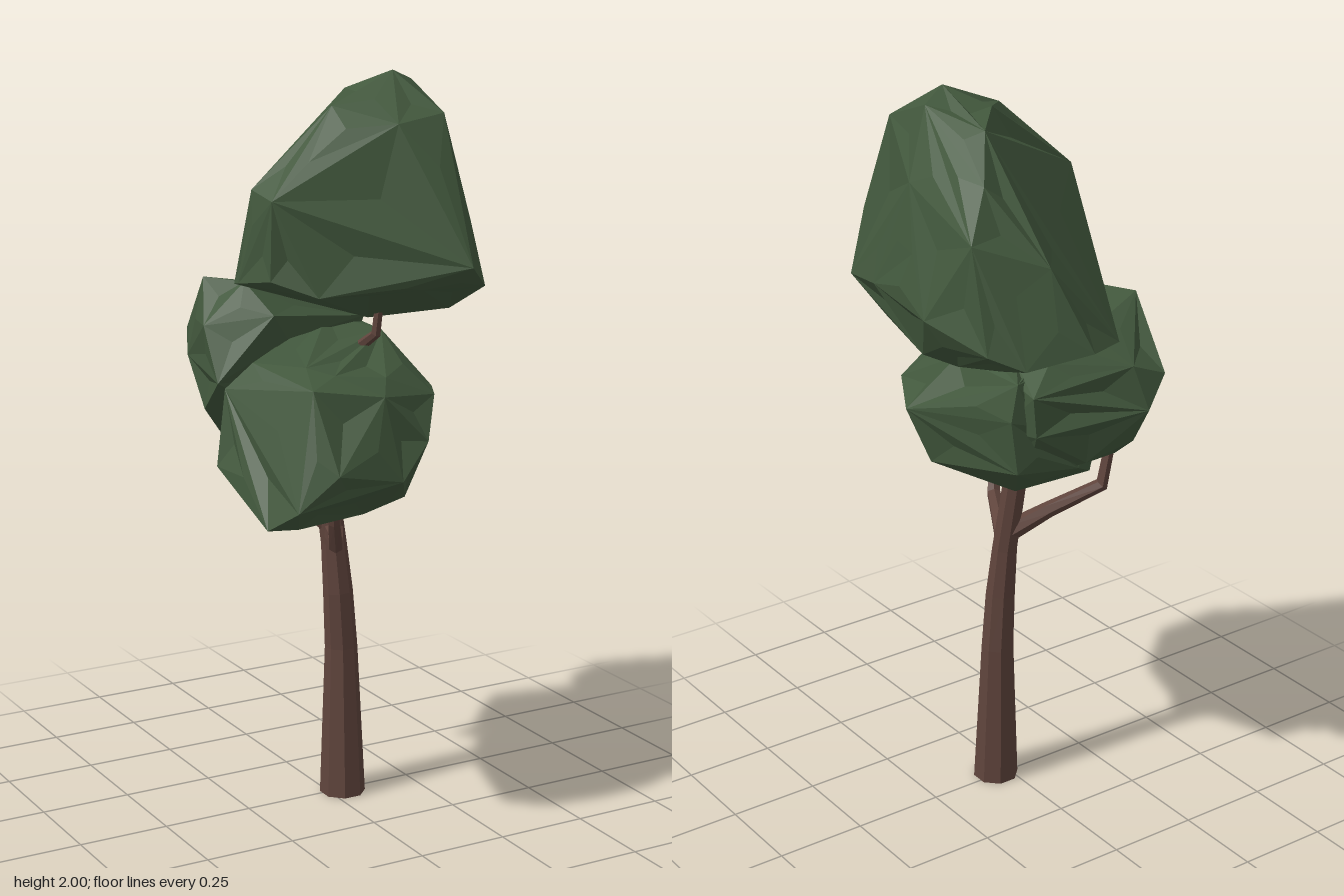
import * as THREE from 'three';
import { ConvexGeometry } from 'three/addons/geometries/ConvexGeometry.js';

const vec = (p) => new THREE.Vector3(...p);

// Seeded random numbers for the uneven foliage facets
function seeded(seed) {
  return () => (seed = (seed * 16807) % 2147483647) / 2147483647;
}

// Faceted leaf mass: hull of a few corner points, large facets broken by a small dent or bump
function foliage(points, seed) {
  const rand = seeded(seed);
  const pos = new ConvexGeometry(points.map(vec)).attributes.position;
  const out = [];
  const tri = new THREE.Triangle(), mid = new THREE.Vector3(), n = new THREE.Vector3();
  for (let i = 0; i < pos.count; i += 3) {
    tri.setFromAttributeAndIndices(pos, i, i + 1, i + 2);
    const { a, b, c } = tri;
    if (tri.getArea() < 0.009) {
      out.push(...a, ...b, ...c);
      continue;
    }
    tri.getMidpoint(mid);
    tri.getNormal(n);
    mid.addScaledVector(n, rand() * 0.03 - 0.02);
    out.push(...a, ...b, ...mid, ...b, ...c, ...mid, ...c, ...a, ...mid);
  }
  const geo = new THREE.BufferGeometry();
  geo.setAttribute('position', new THREE.Float32BufferAttribute(out, 3));
  geo.computeVertexNormals();
  return geo;
}

// Tapered limb through joints [x, y, z, radius], capped at both ends
function limb(joints, sides) {
  const up = new THREE.Vector3(0, 1, 0);
  const centres = joints.map((j) => vec(j.slice(0, 3)));
  const rings = joints.map((j, i) => {
    const before = centres[Math.max(i - 1, 0)];
    const after = centres[Math.min(i + 1, joints.length - 1)];
    const dir = i === 0 && sides > 6 ? up : after.clone().sub(before).normalize();
    const turn = new THREE.Quaternion().setFromUnitVectors(up, dir);
    return Array.from({ length: sides }, (_, k) => {
      const t = ((k + 0.5) / sides) * Math.PI * 2;
      return new THREE.Vector3(Math.sin(t) * j[3], 0, Math.cos(t) * j[3])
        .applyQuaternion(turn).add(centres[i]);
    });
  });
  const out = [];
  const last = rings.length - 1;
  for (let k = 0; k < sides; k++) {
    const m = (k + 1) % sides;
    for (let i = 0; i < last; i++) {
      const a = rings[i][k], b = rings[i][m], c = rings[i + 1][m], d = rings[i + 1][k];
      out.push(...a, ...b, ...c, ...a, ...c, ...d);
    }
    out.push(...centres[0], ...rings[0][m], ...rings[0][k]);
    out.push(...centres[last], ...rings[last][k], ...rings[last][m]);
  }
  const geo = new THREE.BufferGeometry();
  geo.setAttribute('position', new THREE.Float32BufferAttribute(out, 3));
  geo.computeVertexNormals();
  return geo;
}

export function createModel() {
  const tree = new THREE.Group();
  tree.name = 'tree';
  const bark = new THREE.MeshStandardMaterial({ color: 0x5f443c });
  bark.name = 'bark brown';
  const leaf = new THREE.MeshStandardMaterial({ color: 0x42583d });
  leaf.name = 'leaf green';
  const add = (name, geo, mat) => {
    const mesh = new THREE.Mesh(geo, mat);
    mesh.name = name;
    tree.add(mesh);
  };

  // Trunk and branches
  add('trunk', limb([
    [0.038, 0, 0.01, 0.063], [0.041, 0.42, -0.004, 0.045], [0.031, 0.58, -0.004, 0.041],
    [0.022, 0.72, -0.012, 0.035], [0.004, 0.93, -0.036, 0.033], [0.01, 1.2, -0.03, 0.026],
  ], 8), bark);
  add('frontBranch', limb([
    [0.02, 0.75, -0.01, 0.03], [-0.03, 0.765, 0.09, 0.023], [-0.085, 0.775, 0.19, 0.02],
    [-0.11, 0.85, 0.225, 0.017], [-0.13, 0.96, 0.26, 0.015],
  ], 6), bark);
  add('backBranch', limb([
    [0.015, 0.77, -0.02, 0.03], [-0.07, 0.84, -0.09, 0.022],
    [-0.19, 0.91, -0.165, 0.019], [-0.21, 1.02, -0.17, 0.015],
  ], 6), bark);
  add('upperFrontBranch', limb([
    [0.01, 1.18, -0.03, 0.022], [0.04, 1.265, 0.07, 0.016],
    [0.06, 1.32, 0.145, 0.014], [0.068, 1.46, 0.16, 0.012],
  ], 6), bark);
  add('upperBackBranch', limb([
    [0.01, 1.18, -0.03, 0.022], [0.04, 1.3, -0.07, 0.018], [0.08, 1.42, -0.11, 0.014],
  ], 6), bark);

  // Upper crown: base rim, shoulders, peak, underside
  add('upperCrown', foliage([
    [0.06, 1.44, -0.45], [0.24, 1.42, -0.41], [0.32, 1.46, -0.36], [0.365, 1.5, -0.15],
    [0.32, 1.5, 0.15], [0.27, 1.46, 0.34], [0.17, 1.53, 0.44], [0.07, 1.47, 0.36],
    [-0.19, 1.46, 0.29], [-0.29, 1.5, 0.22], [-0.32, 1.48, 0.1], [-0.28, 1.46, 0],
    [-0.17, 1.44, -0.12], [-0.07, 1.42, -0.38],
    [0.13, 1.65, -0.36], [0.31, 1.72, -0.28], [0.33, 1.64, -0.05], [0.17, 1.72, 0.33],
    [-0.17, 1.79, 0.2], [-0.29, 1.72, 0.12], [-0.28, 1.7, 0.21], [-0.1, 1.6, -0.17],
    [0.23, 1.84, -0.22], [0.29, 1.8, 0.02], [0.19, 1.9, 0.26], [0.05, 1.88, 0.27],
    [-0.07, 1.92, 0.14], [0.03, 1.95, 0.03], [0.15, 1.94, -0.11], [0.2, 1.97, 0.08],
    [0.12, 2, 0.12],
    [0.27, 1.34, 0], [0.23, 1.33, -0.1], [0.2, 1.36, -0.25], [0.25, 1.38, 0.2],
    [0.05, 1.36, 0.12], [-0.13, 1.42, 0.1],
  ], 11), leaf);

  // Lower crown, main mass rising from the front to the back right
  add('lowerCrownFront', foliage([
    [-0.34, 1.2, 0.06], [-0.37, 1, 0.07], [-0.36, 1, 0.2], [-0.36, 0.89, 0.33],
    [-0.32, 0.95, 0.42], [-0.22, 1.04, 0.45], [-0.13, 1.05, 0.43], [-0.03, 1, 0.44],
    [0.08, 1.08, 0.38], [0.17, 1.17, 0.26], [0.26, 1.15, 0.1], [0.21, 1, 0.06],
    [0.07, 0.91, 0.28], [0, 0.915, 0], [-0.28, 0.91, 0.02], [-0.26, 0.875, 0.31],
    [-0.07, 0.89, 0.31], [0.15, 1.3, 0.02], [0, 1.24, 0.3], [-0.15, 1.26, 0.3],
    [-0.24, 1.24, 0.35], [-0.2, 1.275, 0.24], [-0.28, 1.27, 0.1], [-0.05, 1.21, 0.38],
    [-0.19, 0.93, -0.11], [0.05, 0.93, -0.1], [0.05, 1.33, -0.1],
    [0.15, 1.31, -0.25], [0.17, 1.21, -0.25], [0.15, 1.06, -0.25], [-0.03, 1.04, -0.27],
  ], 29), leaf);

  // Lower crown, raised back left lobe
  add('lowerCrownBack', foliage([
    [-0.18, 1.2, -0.37], [-0.25, 1.28, -0.345], [-0.3, 1.23, -0.24], [-0.28, 1.45, -0.18],
    [-0.22, 1.45, -0.06], [-0.08, 1.4, -0.24], [0.06, 1.35, -0.26], [0.13, 1.28, -0.29],
    [0.12, 1.17, -0.29], [-0.04, 1.06, -0.29], [-0.17, 1.1, -0.32], [-0.3, 1.1, -0.14],
    [-0.33, 1.34, -0.08], [-0.22, 1, -0.18], [0.13, 1.33, -0.04], [0.14, 1.15, -0.15],
    [-0.18, 1.37, 0.03], [0.05, 0.98, -0.15], [-0.15, 1.32, -0.34], [-0.33, 1.2, 0],
  ], 47), leaf);

  return tree;
}
